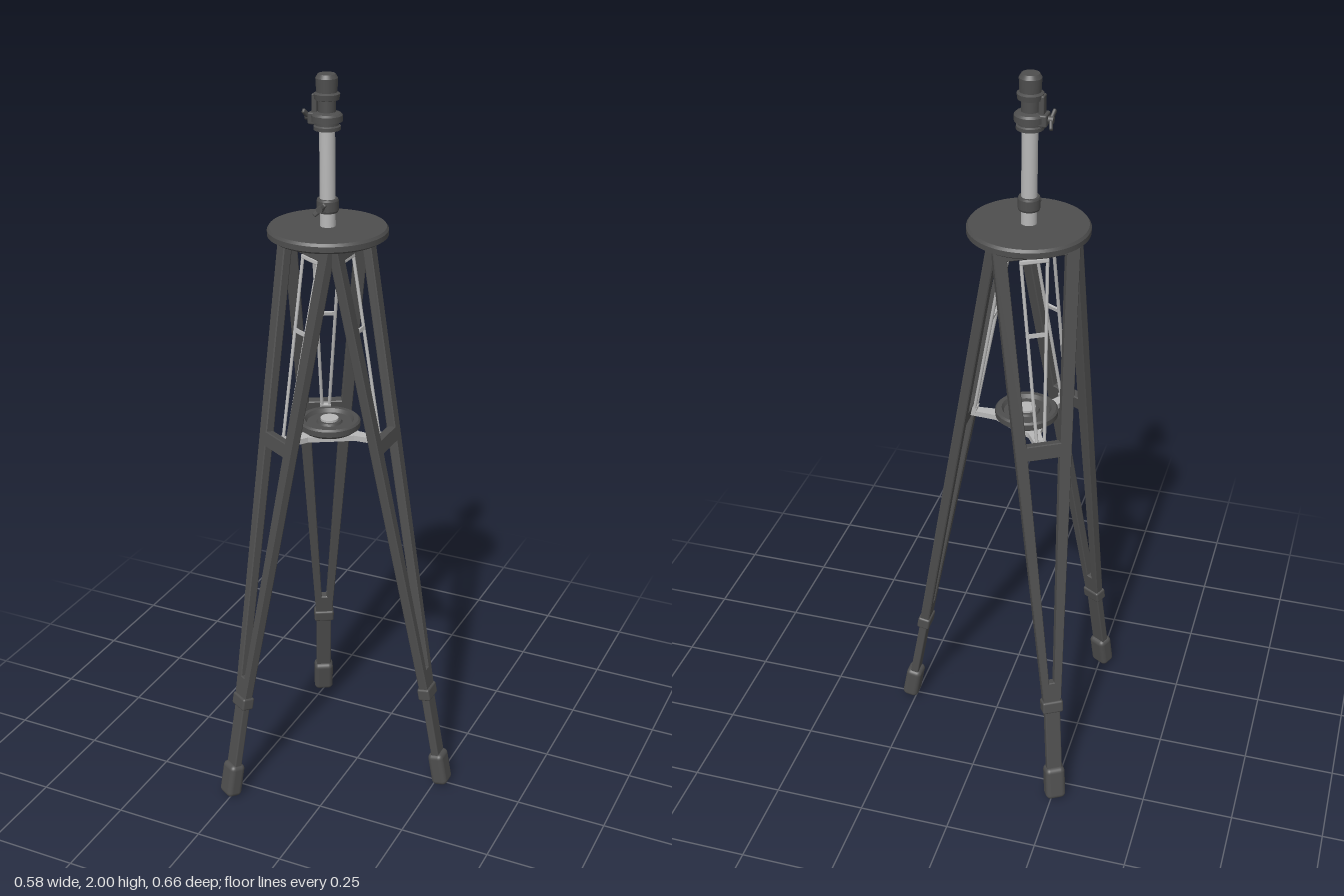
import * as THREE from 'three';
import { RoundedBoxGeometry } from 'three/addons/geometries/RoundedBoxGeometry.js';

const dark = new THREE.MeshStandardMaterial({ color: 0x4e4e4e });
const light = new THREE.MeshStandardMaterial({ color: 0xb8b8b8 });

const AXIS = -0.082;          // x of the tripod's centre line
const TILT = Math.atan(0.18); // splay of the legs
const LEG_TOP = 1.592;
const along = (y) => (y - LEG_TOP) / Math.cos(TILT); // world height -> distance along leg

function add(parent, name, geometry, material, x = 0, y = 0, z = 0) {
  const mesh = new THREE.Mesh(geometry, material);
  mesh.name = name;
  mesh.position.set(x, y, z);
  parent.add(mesh);
  return mesh;
}

// Lathe with crisp edges: each profile segment is its own band
function turned(parent, name, profile, material, sides = 40) {
  const group = new THREE.Group();
  group.name = name;
  for (let i = 0; i < profile.length - 1; i++) {
    const pts = [profile[i], profile[i + 1]].map(([r, y]) => new THREE.Vector2(r, y));
    add(group, name, new THREE.LatheGeometry(pts, sides), material);
  }
  parent.add(group);
}

function rod(parent, name, a, b, radius, material) {
  const from = new THREE.Vector3(...a), to = new THREE.Vector3(...b);
  const dir = to.clone().sub(from);
  const mesh = add(parent, name, new THREE.CylinderGeometry(radius, radius, dir.length(), 10), material);
  mesh.position.copy(from).add(to).multiplyScalar(0.5);
  mesh.quaternion.setFromUnitVectors(new THREE.Vector3(0, 1, 0), dir.normalize());
}

// Half width of the leg frame at a given height
const halfWidth = (y) => 0.025 + (0.085 * (y - 0.35)) / 1.24;

function trapezoid(Type, y0, y1, inset0, inset1) {
  const w0 = halfWidth(y0) - inset0, w1 = halfWidth(y1) - inset1;
  return new Type([[-w0, y0], [w0, y0], [w1, y1], [-w1, y1]]
    .map(([x, y]) => new THREE.Vector2(x, along(y))));
}

function createLeg() {
  const leg = new THREE.Group();
  leg.name = 'leg';
  leg.position.set(0.065, LEG_TOP, 0);
  leg.rotation.z = TILT;

  // tapered frame with an upper and a lower opening
  const shape = trapezoid(THREE.Shape, 0.31, LEG_TOP, 0, 0);
  shape.holes.push(
    trapezoid(THREE.Path, 1.066, 1.558, 0.027, 0.03),
    trapezoid(THREE.Path, 0.37, 1.03, 0.017, 0.027));
  const frame = new THREE.ExtrudeGeometry(shape, {
    depth: 0.02, bevelThickness: 0.003, bevelSize: 0.002, bevelSegments: 1 });
  frame.translate(0, 0, -0.01).rotateY(Math.PI / 2);
  add(leg, 'legFrame', frame, dark);

  // collar, sliding lower leg and rubber foot
  add(leg, 'legCollar', new RoundedBoxGeometry(0.036, 0.036, 0.058, 2, 0.006), dark, 0, along(0.298));
  add(leg, 'lowerLeg', new RoundedBoxGeometry(0.023, 0.25, 0.043, 2, 0.004), dark, 0, along(0.2));
  add(leg, 'foot', new RoundedBoxGeometry(0.046, 0.1, 0.056, 3, 0.014), dark, 0, along(0.054));

  // slim V-shaped brace on the inner side
  const x = -0.02, top = along(1.54), bottom = along(1.06);
  for (const s of [-1, 1]) {
    rod(leg, 'braceRod', [x, top, s * 0.034], [x, bottom, s * 0.01], 0.0045, light);
  }
  add(leg, 'braceTop', new RoundedBoxGeometry(0.01, 0.012, 0.076, 1, 0.003), light, x, top);
  add(leg, 'braceRung', new THREE.BoxGeometry(0.007, 0.01, 0.049), light, x, along(1.35));
  add(leg, 'braceFoot', new THREE.BoxGeometry(0.012, 0.012, 0.03), light, x, bottom);
  return leg;
}

// Horizontal strut from the hub to a leg, widest at the hub
function createSpreaderArm() {
  const shape = new THREE.Shape([[0, -0.055], [0.03, -0.046], [0.08, -0.016], [0.155, -0.011],
    [0.155, 0.011], [0.08, 0.016], [0.03, 0.046], [0, 0.055]].map((p) => new THREE.Vector2(...p)));
  const geometry = new THREE.ExtrudeGeometry(shape, { depth: 0.015, bevelEnabled: false });
  geometry.rotateX(-Math.PI / 2);
  const arm = new THREE.Mesh(geometry, light);
  arm.name = 'spreaderArm';
  arm.position.y = 1.037;
  return arm;
}

// Wing screw pointing along local +x, its wings turned to a slant
function createWingScrew(reach, wing) {
  const screw = new THREE.Group();
  screw.name = 'wingScrew';
  rod(screw, 'screwShaft', [0.015, 0, 0], [reach, 0, 0], 0.006, dark);
  rod(screw, 'screwBoss', [reach - 0.014, 0, 0], [reach, 0, 0], 0.009, dark);
  const wings = new THREE.Group();
  wings.name = 'screwWings';
  wings.rotation.x = Math.PI / 4;
  for (const s of [-1, 1]) {
    const blade = add(wings, 'screwWing', new RoundedBoxGeometry(0.009, 0.013, wing, 2, 0.004), dark,
      reach - 0.004, 0, s * wing * 0.6);
    blade.rotation.y = s * 0.2;
  }
  screw.add(wings);
  return screw;
}

export function createModel() {
  const model = new THREE.Group();
  model.name = 'tripodStand';
  const body = new THREE.Group();
  body.name = 'body';
  body.position.x = AXIS;
  model.add(body);

  // legs and spreader arms, three around the axis
  for (let i = 0; i < 3; i++) {
    const side = new THREE.Group();
    side.name = 'legAssembly';
    side.rotation.y = (i * Math.PI * 2) / 3;
    side.add(createLeg(), createSpreaderArm());
    body.add(side);
  }

  // round top plate with chamfered rim
  turned(body, 'topPlate', [[0, 1.588], [0.144, 1.588], [0.155, 1.595], [0.155, 1.609],
    [0.15, 1.616], [0, 1.616]], dark, 64);

  // spreader hub and stepped tray
  turned(body, 'spreaderHub', [[0, 1.024], [0.026, 1.024], [0.055, 1.052], [0, 1.052]], light);
  turned(body, 'tray', [[0, 1.052], [0.07, 1.052], [0.083, 1.062], [0.083, 1.077], [0.078, 1.082],
    [0.066, 1.082], [0.06, 1.072], [0.035, 1.072], [0.032, 1.078], [0, 1.078]], dark, 48);
  turned(body, 'trayButton', [[0.024, 1.078], [0.024, 1.084], [0, 1.084]], light);

  // centre pole with lower clamp
  add(body, 'centrePole', new THREE.CylinderGeometry(0.02, 0.02, 0.28, 32), light, 0, 1.744);
  turned(body, 'lowerClamp', [[0.02, 1.653], [0.026, 1.653], [0.028, 1.658], [0.028, 1.683],
    [0.026, 1.688], [0.02, 1.688]], dark);
  const lowerScrew = createWingScrew(0.05, 0.021);
  lowerScrew.position.y = 1.67;
  lowerScrew.rotation.y = -Math.PI / 2;
  body.add(lowerScrew);

  // upper clamp, neck and mounting head
  turned(body, 'upperClamp', [[0.02, 1.863], [0.034, 1.863], [0.034, 1.872], [0.03, 1.875], [0.03, 1.882],
    [0.039, 1.884], [0.039, 1.899], [0.034, 1.904], [0.02, 1.908]], dark);
  turned(body, 'neck', [[0.022, 1.905], [0.022, 1.935], [0.031, 1.938], [0.033, 1.952], [0.026, 1.956]], dark);
  turned(body, 'head', [[0.026, 1.953], [0.028, 1.99], [0.022, 2], [0, 2]], dark);
  add(body, 'clampLug', new RoundedBoxGeometry(0.022, 0.03, 0.04, 2, 0.004), dark, -0.034, 1.89);
  add(body, 'headLug', new RoundedBoxGeometry(0.014, 0.05, 0.026, 2, 0.003), dark, -0.03, 1.925);
  const upperScrew = createWingScrew(0.058, 0.025);
  upperScrew.position.y = 1.89;
  upperScrew.rotation.y = Math.PI;
  body.add(upperScrew);

  return model;
}
